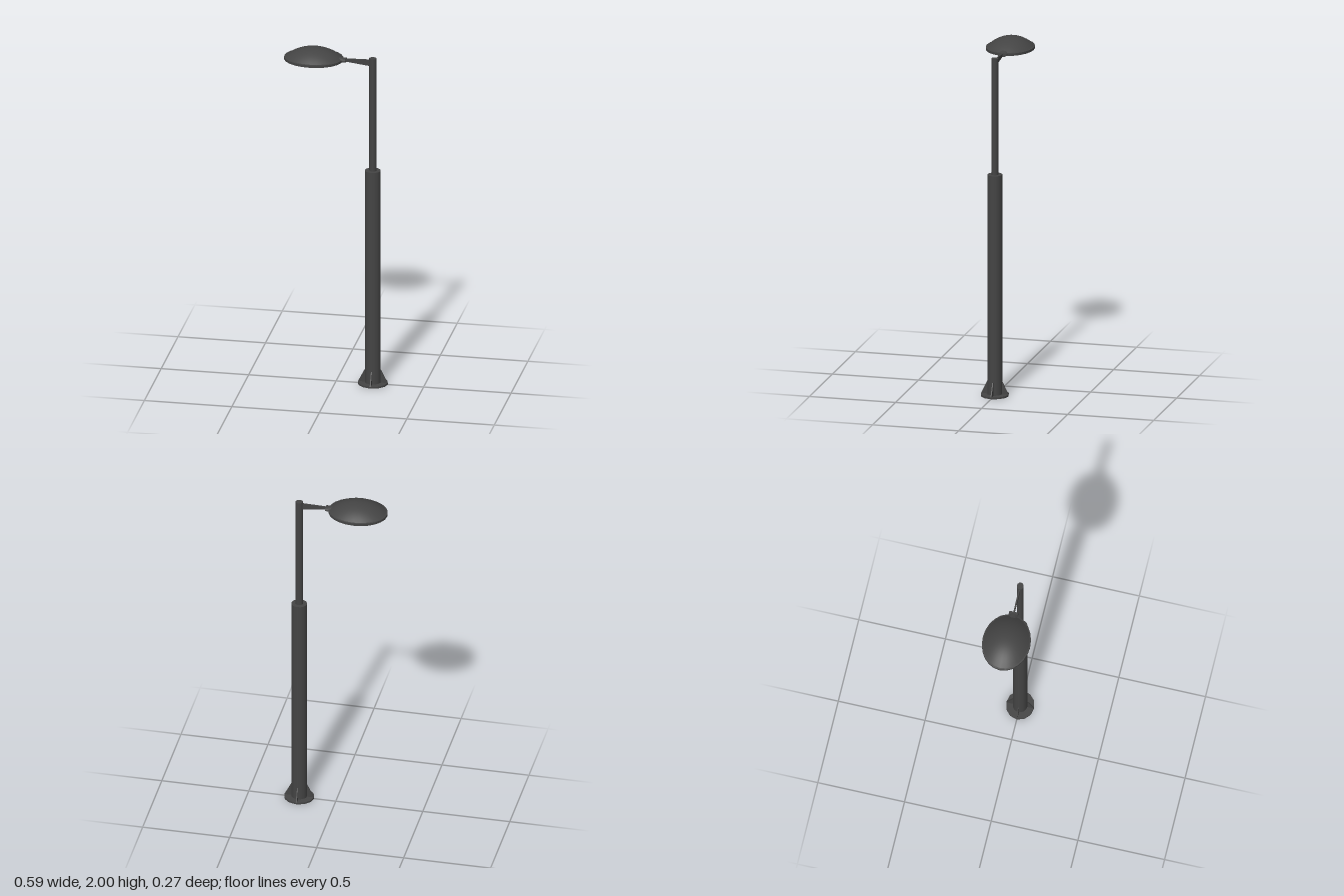
import * as THREE from 'three';

export function createModel() {
  const group = new THREE.Group();
  const metal = new THREE.MeshStandardMaterial({ color: 0x444444 });
  metal.name = 'dark grey metal';
  const glass = new THREE.MeshStandardMaterial({ color: 0xcccccc });
  glass.name = 'pale grey lens';

  const add = (parent, name, geometry, material = metal) => {
    const mesh = new THREE.Mesh(geometry, material);
    mesh.name = name;
    parent.add(mesh);
    return mesh;
  };
  // Vertical plate of the given thickness, outlined in x and y
  const plate = (points, depth) => {
    const shape = new THREE.Shape(points.map(([x, y]) => new THREE.Vector2(x, y)));
    return new THREE.ExtrudeGeometry(shape, { depth, bevelEnabled: false }).translate(0, 0, -depth / 2);
  };

  // Post: slightly wider in x than in z
  const post = new THREE.Group();
  post.name = 'post';
  post.position.x = 0.21;
  post.scale.x = 1.07;
  group.add(post);
  const column = (name, radius, y0, y1, sides) =>
    add(post, name, new THREE.CylinderGeometry(radius, radius, y1 - y0, sides).translate(0, (y0 + y1) / 2, 0));
  column('baseFlange', 0.08, 0, 0.01, 12);
  column('lowerPole', 0.042, 0.01, 1.285, 16);
  column('upperPole', 0.0195, 1.285, 1.96, 12);

  // Four triangular braces on the flange
  for (let i = 0; i < 4; i++) {
    const brace = add(post, 'baseBrace', plate([[0.038, 0.01], [0.079, 0.01], [0.043, 0.085], [0.038, 0.085]], 0.006));
    brace.rotation.y = i * Math.PI / 2;
  }

  // Tapered arm
  add(group, 'arm', plate([[0.04, 1.932], [0.205, 1.912], [0.205, 1.951], [0.04, 1.947]], 0.008));

  // Oval lamp head: shallow domed shell, rim and underside lens
  const head = new THREE.Group();
  head.name = 'lampHead';
  head.position.set(-0.128, 1.93, 0);
  head.scale.set(0.168, 1, 0.136);
  group.add(head);
  const sides = 24;
  const ring = (name, points) =>
    add(head, name, new THREE.LatheGeometry(points.map(([r, y]) => new THREE.Vector2(r, y)), sides));
  const dome = [];
  for (let i = 0; i <= 10; i++) {
    const t = 1 - i / 10;
    dome.push([0.95 * t, 0.016 + 0.054 * (1 - t ** 2.1)]);
  }
  ring('dome', dome);
  ring('rimTop', [[1, 0.014], [0.95, 0.016]]);
  ring('rimSide', [[1, 0], [1, 0.014]]);
  ring('rimUnderside', [[0.94, 0], [1, 0]]);
  ring('rimInside', [[0.94, 0.004], [0.94, 0]]);
  add(head, 'lens', new THREE.CircleGeometry(0.95, sides).rotateX(Math.PI / 2).translate(0, 0.003, 0), glass);

  // Collar joining the head to the arm, with a neck blending up into the dome
  const collar = new THREE.CylinderGeometry(0.027, 0.027, 0.03, 12).rotateZ(Math.PI / 2).scale(1, 0.4, 1);
  add(group, 'collar', collar.translate(0.042, 1.938, 0));
  const neck = new THREE.CylinderGeometry(0.02, 0.03, 0.055, 12).rotateZ(-Math.PI / 2).scale(1, 0.45, 1);
  add(group, 'neck', neck.rotateZ(-0.12).translate(0.02, 1.943, 0));

  return group;
}
